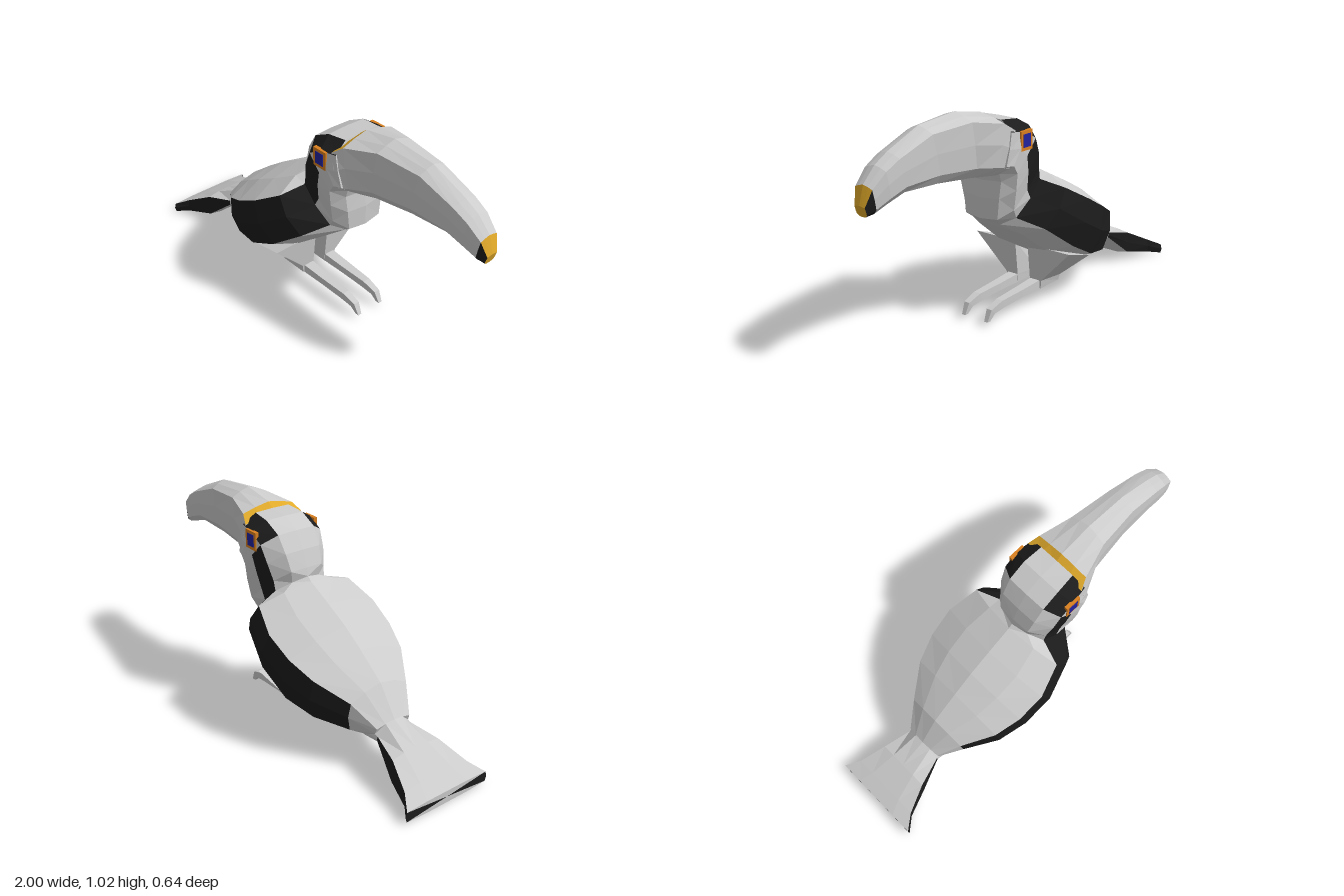
import * as THREE from 'three';

const GREY = 0xcccccc, BLACK = 0x1c1c1c, YELLOW = 0xe0a92a, ORANGE = 0xd98020, BLUE = 0x2222a0;

// Half cross-sections, top to bottom: [fraction of height, fraction of half width]
const BODY = [[0, 0], [0.08, 0.52], [0.23, 0.96], [0.52, 1], [0.83, 0.88], [0.97, 0.45], [1, 0]];
const HEAD = [[0, 0], [0.01, 0.58], [0.2, 0.98], [0.5, 1], [0.8, 0.98], [0.97, 0.62], [1, 0]];
const TAIL = [[0, 0], [0, 0.5], [0.08, 0.97], [0.5, 1], [0.9, 0.97], [1, 0.5], [1, 0]];
const TAIL_ROOT = [[0, 0], [0.08, 0.5], [0.6, 0.97], [0.75, 1], [0.9, 0.97], [1, 0.5], [1, 0]];
const BEAK = [[0, 0], [0.05, 0.5], [0.12, 0.96], [0.45, 1], [0.8, 0.95], [0.96, 0.58], [1, 0]];
const BOX = [[0, 0], [0, 1], [1, 1], [1, 0]];
const THIGH = [[0, 0], [0, 1], [1, 0.72], [1, 0]];

// Faceted material, one per coloured piece
function mesh(name, geometry, color) {
  const m = new THREE.Mesh(geometry, new THREE.MeshStandardMaterial({ color, flatShading: true, side: THREE.DoubleSide }));
  m.name = name;
  return m;
}

// Lofts mirrored sections [topX, topY, bottomX, bottomY, halfWidth, profile, centreZ];
// paint(strip, band) picks the colour of each quad.
function loft(name, sections, defaultProfile, paint = () => GREY) {
  const byColor = new Map();
  const first = sections[0], last = sections[sections.length - 1];
  const closed = [shrink(first), ...sections, shrink(last)];
  const point = (j, i, side) => {
    const [tx, ty, bx, by, w, profile = defaultProfile, cz = 0] = closed[j];
    const [t, f] = profile[i];
    return new THREE.Vector3(tx + (bx - tx) * t, ty + (by - ty) * t, cz + side * w * f);
  };
  for (let j = 0; j < closed.length - 1; j++) {
    for (let i = 0; i < defaultProfile.length - 1; i++) {
      const color = paint(j - 1, i);
      if (!byColor.has(color)) byColor.set(color, []);
      for (const side of [1, -1]) {
        const a = point(j, i, side), b = point(j, i + 1, side);
        const c = point(j + 1, i + 1, side), d = point(j + 1, i, side);
        const tris = side > 0 ? [[a, b, c], [a, c, d]] : [[c, b, a], [d, c, a]];
        for (const [p, q, r] of tris) {
          if (new THREE.Triangle(p, q, r).getArea() > 1e-7) byColor.get(color).push(p, q, r);
        }
      }
    }
  }
  const group = new THREE.Group();
  group.name = name;
  for (const [color, points] of byColor) {
    const geometry = new THREE.BufferGeometry().setFromPoints(points);
    geometry.computeVertexNormals();
    group.add(mesh(name + 'Surface', geometry, color));
  }
  return group;
}

// Collapses a section to its middle, closing the end of a loft
function shrink([tx, ty, bx, by, , profile, cz]) {
  const x = (tx + bx) / 2, y = (ty + by) / 2;
  return [x, y, x, y, 0, profile, cz];
}

function createBody() {
  const sections = [
    [-0.66, 0.24, -0.63, 0.16, 0.10],
    [-0.56, 0.38, -0.53, 0.14, 0.17],
    [-0.42, 0.485, -0.38, 0.15, 0.27],
    [-0.31, 0.56, -0.21, 0.175, 0.31],
    [-0.19, 0.625, -0.03, 0.27, 0.32],
    [-0.06, 0.69, 0.14, 0.40, 0.275],
    [-0.04, 0.71, 0.23, 0.46, 0.15],
    [-0.03, 0.75, 0.28, 0.50, 0.15, HEAD],
    [0.00, 0.83, 0.28, 0.60, 0.168, HEAD],
    [0.05, 0.91, 0.27, 0.68, 0.177, HEAD],
    [0.14, 0.955, 0.28, 0.72, 0.178, HEAD],
    [0.24, 0.965, 0.30, 0.72, 0.165, HEAD],
  ];
  // Dark wings on the flanks, dark marks on the neck and brow
  return loft('body', sections, BODY, (j, i) => {
    const wing = j >= 1 && j <= 5 && (i === 2 || i === 3);
    const neck = j >= 6 && j <= 8 && i === 2;
    const brow = (j === 9 || j === 10) && i === 1;
    return wing || neck || brow ? BLACK : GREY;
  });
}

function createTail() {
  const sections = [
    [-1, 0.06, -1, 0, 0.24],
    [-0.93, 0.10, -0.94, 0.01, 0.19],
    [-0.80, 0.17, -0.80, 0.035, 0.14],
    [-0.66, 0.24, -0.66, 0.155, 0.10, TAIL_ROOT],
    [-0.58, 0.30, -0.58, 0.15, 0.11, TAIL_ROOT],
  ];
  return loft('tail', sections, TAIL, (j, i) => (j < 3 && (i === 2 || i === 3) ? BLACK : GREY));
}

function createBeak() {
  const sections = [
    [0.22, 0.95, 0.28, 0.71, 0.17],
    [0.27, 0.99, 0.32, 0.71, 0.148],
    [0.44, 1.02, 0.40, 0.715, 0.1],
    [0.66, 1.00, 0.60, 0.735, 0.076],
    [0.84, 0.925, 0.79, 0.745, 0.068],
    [0.91, 0.885, 0.88, 0.72, 0.063],
    [0.975, 0.82, 0.95, 0.695, 0.05],
    [1.00, 0.74, 0.985, 0.69, 0.03],
  ];
  // Yellow rim, chin and tip
  return loft('beak', sections, BEAK, (j, i) => {
    if ((j === 0 && i < 2) || (j === 1 && i === 5)) return YELLOW;
    if (j >= 6) return i < 2 || j === 7 ? YELLOW : BLACK;
    return GREY;
  });
}

// Wedge thigh tapering to a long forward foot
function createLeg(side) {
  const leg = new THREE.Group();
  leg.name = side > 0 ? 'leftLeg' : 'rightLeg';
  leg.add(loft('thigh', [
    [-0.025, 0.295, -0.25, 0.22, 0.122, THIGH, side * 0.16],
    [-0.045, 0.115, -0.2, 0.10, 0.035, BOX, side * 0.073],
    [-0.05, 0.07, -0.2, 0.07, 0.03, BOX, side * 0.07],
  ], BOX));
  leg.add(loft('foot', [
    [-0.08, 0.115, -0.08, 0.07, 0.028, BOX, side * 0.068],
    [0.08, 0.105, 0.08, 0.068, 0.024, BOX, side * 0.068],
    [0.23, 0.098, 0.215, 0.06, 0.019, BOX, side * 0.068],
    [0.305, 0.075, 0.28, 0.05, 0.015, BOX, side * 0.068],
    [0.33, 0.02, 0.31, 0.02, 0.01, BOX, side * 0.068],
  ], BOX));
  return leg;
}

// Square orange eye ring around a blue eye
function createEye(side) {
  const eye = new THREE.Group();
  eye.name = side > 0 ? 'leftEye' : 'rightEye';
  const ring = mesh('eyeRing', new THREE.BoxGeometry(0.08, 0.09, 0.018), ORANGE);
  const iris = mesh('iris', new THREE.BoxGeometry(0.05, 0.06, 0.022), BLUE);
  eye.add(ring, iris);
  eye.position.set(0.165, 0.868, side * 0.17);
  return eye;
}

export function createModel() {
  const bird = new THREE.Group();
  bird.name = 'bird';
  bird.add(createBody(), createTail(), createBeak());
  for (const side of [1, -1]) bird.add(createLeg(side), createEye(side));
  return bird;
}
